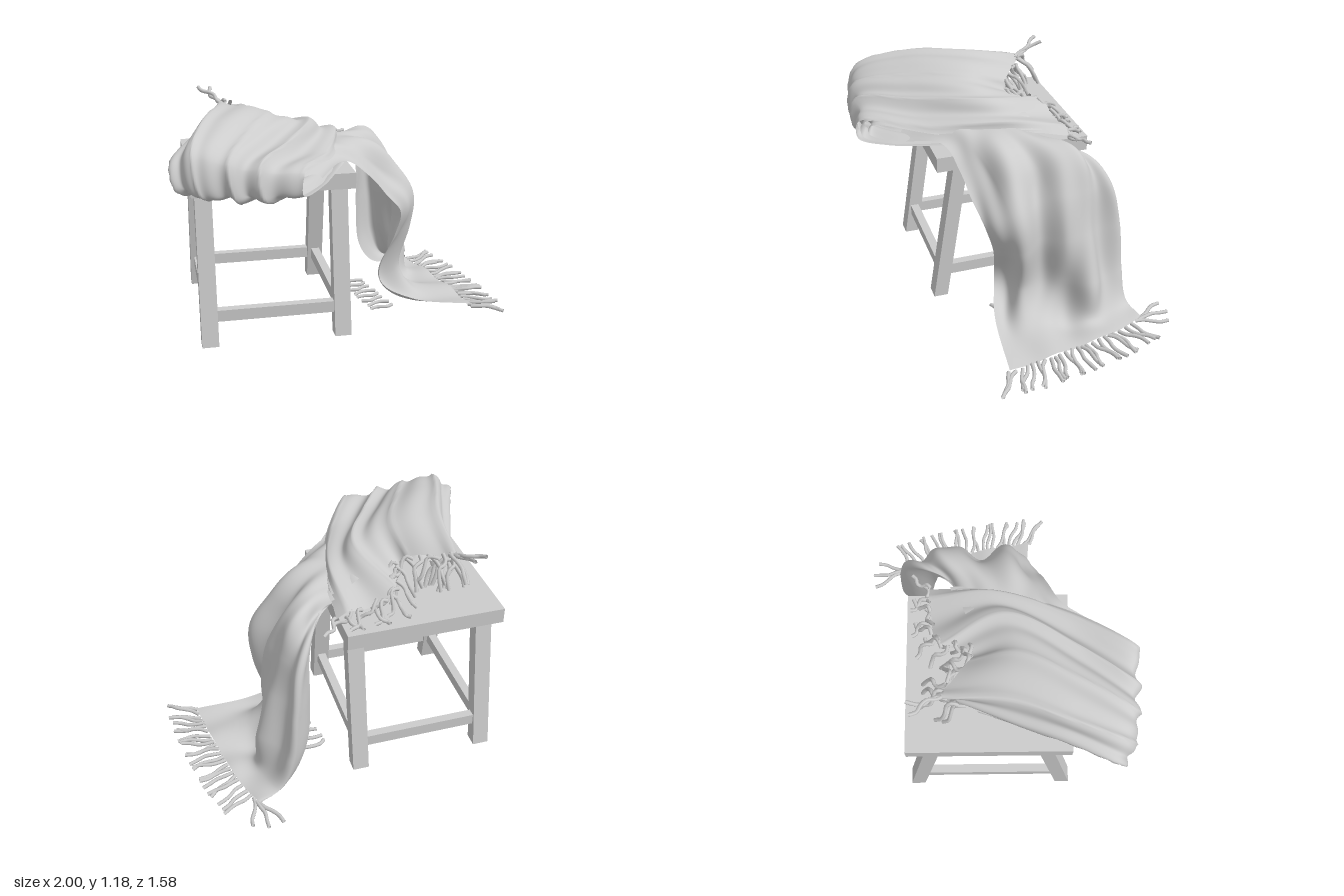
import * as THREE from 'three';

const material = new THREE.MeshStandardMaterial({ color: 0xcccccc, side: THREE.DoubleSide });
const V = (p) => new THREE.Vector3(...p);

function add(parent, name, geometry) {
  const mesh = new THREE.Mesh(geometry, material);
  mesh.name = name;
  parent.add(mesh);
  return mesh;
}

// Smooth surface through rows of points: s runs along the cloth, t across it
function sheet(rows) {
  const across = rows.map((r) => new THREE.CatmullRomCurve3(r.map(V), false, 'centripetal'));
  return (s, t) => new THREE.CatmullRomCurve3(across.map((c) => c.getPoint(t)), false, 'centripetal').getPoint(s);
}

// Grid mesh over a sheet, pushed along its normals by a fold rule
function clothGeometry(surface, fold, ns, nt) {
  const pos = [], index = [];
  for (let j = 0; j <= nt; j++) {
    for (let i = 0; i <= ns; i++) {
      pos.push(...surface(i / ns, j / nt).toArray());
      if (i < ns && j < nt) {
        const a = j * (ns + 1) + i, b = a + ns + 1;
        index.push(a, b, a + 1, a + 1, b, b + 1);
      }
    }
  }
  const g = new THREE.BufferGeometry();
  g.setAttribute('position', new THREE.Float32BufferAttribute(pos, 3));
  g.setIndex(index);
  g.computeVertexNormals();
  const p = g.attributes.position, n = g.attributes.normal;
  for (let k = 0; k < p.count; k++) {
    const d = fold((k % (ns + 1)) / ns, Math.floor(k / (ns + 1)) / nt);
    p.setXYZ(k, p.getX(k) + n.getX(k) * d, Math.max(0.012, p.getY(k) + n.getY(k) * d), p.getZ(k) + n.getZ(k) * d);
  }
  g.computeVertexNormals();
  return g;
}

function strand(points, radius = 0.01) {
  return new THREE.TubeGeometry(new THREE.CatmullRomCurve3(points), 12, radius, 6);
}

function buildStool() {
  const stool = new THREE.Group();
  stool.name = 'stool';
  add(stool, 'seat', new THREE.BoxGeometry(0.81, 0.08, 0.81)).position.y = 0.83;
  for (const sx of [-1, 1]) {
    for (const sz of [-1, 1]) {
      // legs lean inwards towards the top along one axis
      const g = new THREE.BoxGeometry(0.085, 0.79, 0.075).translate(0, 0.405, 0);
      const p = g.attributes.position;
      for (let i = 0; i < p.count; i++) p.setZ(i, p.getZ(i) - sz * 0.13 * (p.getY(i) / 0.8));
      g.computeVertexNormals();
      add(stool, 'leg', g).position.set(sx * 0.34, 0, sz * 0.405);
    }
    add(stool, 'sideStretcher', new THREE.BoxGeometry(0.045, 0.06, 0.74)).position.set(sx * 0.34, 0.16, 0);
    add(stool, 'endStretcher', new THREE.BoxGeometry(0.66, 0.06, 0.045)).position.set(0, 0.16, sx * 0.379);
  }
  stool.rotation.y = -0.618;
  stool.position.set(-0.23, 0, -0.21);
  return stool;
}

// Folded part: fringe end on the seat, over the top, round the loop and back underneath
const foldedRows = [
  [[-0.3, 0.95, -0.36], [-0.33, 1.04, -0.43], [-0.25, 1.11, -0.49], [-0.16, 1.03, -0.25], [0.02, 0.97, -0.34], [0.29, 0.9, -0.2]],
  [[-0.48, 0.9, -0.22], [-0.56, 1.06, -0.28], [-0.45, 1.17, -0.23], [-0.25, 1.11, -0.06], [-0.05, 1.05, -0.01], [0.1, 0.97, 0.02]],
  [[-0.73, 0.92, -0.08], [-0.77, 1.07, -0.13], [-0.71, 1.16, -0.06], [-0.56, 1.1, 0.1], [-0.41, 1.03, 0.19], [-0.22, 0.96, 0.28]],
  [[-0.91, 0.97, 0.03], [-0.97, 1.02, 0.0], [-0.93, 1.07, 0.09], [-0.83, 1.03, 0.21], [-0.72, 1.0, 0.3], [-0.57, 0.98, 0.43]],
  [[-0.92, 0.91, 0.04], [-0.98, 0.92, 0.04], [-0.94, 0.89, 0.13], [-0.83, 0.88, 0.23], [-0.73, 0.87, 0.31], [-0.59, 0.88, 0.44]],
  [[-0.78, 0.89, 0.0], [-0.82, 0.88, 0.02], [-0.76, 0.87, 0.1], [-0.67, 0.86, 0.19], [-0.55, 0.86, 0.29], [-0.42, 0.87, 0.4]],
  [[-0.5, 0.9, -0.12], [-0.5, 0.9, -0.1], [-0.42, 0.9, 0.0], [-0.32, 0.9, 0.08], [-0.22, 0.9, 0.16], [-0.14, 0.9, 0.28]],
];

// Hanging part: out from the folds, over the seat edge, down and across the floor
const hangingRows = [
  [[-0.55, 0.89, -0.12], [-0.55, 0.89, 0], [-0.5, 0.9, 0.12], [-0.45, 0.9, 0.24], [-0.4, 0.89, 0.35]],
  [[-0.01, 0.9, -0.18], [-0.05, 0.95, -0.08], [-0.1, 0.97, 0.05], [-0.12, 0.97, 0.18], [-0.15, 0.92, 0.29]],
  [[0.24, 0.89, -0.09], [0.2, 0.95, -0.02], [0.13, 0.96, 0.1], [0.05, 0.91, 0.25], [-0.01, 0.82, 0.32]],
  [[0.43, 0.86, -0.14], [0.41, 0.89, -0.04], [0.32, 0.87, 0.12], [0.2, 0.8, 0.29], [0.09, 0.72, 0.37]],
  [[0.55, 0.72, -0.17], [0.52, 0.74, -0.03], [0.42, 0.72, 0.14], [0.31, 0.66, 0.31], [0.2, 0.6, 0.4]],
  [[0.61, 0.48, -0.2], [0.57, 0.5, -0.02], [0.46, 0.5, 0.12], [0.34, 0.47, 0.27], [0.22, 0.44, 0.36]],
  [[0.64, 0.22, -0.2], [0.61, 0.24, -0.02], [0.48, 0.24, 0.12], [0.33, 0.21, 0.23], [0.17, 0.19, 0.3]],
  [[0.71, 0.06, -0.17], [0.66, 0.05, 0.02], [0.54, 0.05, 0.18], [0.4, 0.07, 0.32], [0.27, 0.07, 0.41]],
  [[0.82, 0.025, -0.12], [0.77, 0.025, 0.08], [0.69, 0.025, 0.27], [0.61, 0.03, 0.45], [0.52, 0.025, 0.63]],
];

// The back edge of the hanging cloth rolls inwards
const rolledRows = hangingRows.map((row, i) => {
  const k = 0.05 + Math.max(0, Math.sin(Math.PI * (i - 2) / 6)), [x, y, z] = row[0];
  return [[x - 0.18 * k, Math.max(0.015, y - 0.03 * k), z + 0.06 * k], ...row];
});

// Rounded puffs with sharp creases, running along the cloth, with finer wrinkles on top
const puffs = (k, amp) => (s, t) => {
  const phase = Math.PI * k * t + 0.7 * Math.sin(4 * s + 1);
  return amp * (Math.abs(Math.sin(phase)) ** 0.7 - 0.65 + 0.3 * Math.sin(2.7 * phase + 5 * s));
};
// Loose, slanting folds that flatten on the floor and fade at the rolled edge
const drapes = (s, t) => {
  const { smoothstep } = THREE.MathUtils;
  const strength = smoothstep(s, 0.1, 0.45) * smoothstep(1 - s, 0, 0.25) * smoothstep(t, 0.05, 0.4);
  const u = t + 0.1 * Math.sin(6 * s + 1);
  return strength * (0.034 * Math.sin(19 * u) + 0.016 * Math.sin(33 * t - 9 * s) + 0.015 * Math.sin(15 * s + 7 * t))
    + (1 - strength) * 0.008 * Math.sin(24 * t + 9 * s);
};

function buildBlanket() {
  const blanket = new THREE.Group();
  blanket.name = 'blanket';
  const folded = sheet(foldedRows), hanging = sheet(rolledRows);
  add(blanket, 'foldedCloth', clothGeometry(folded, puffs(5, 0.026), 90, 100));
  add(blanket, 'hangingCloth', clothGeometry(hanging, drapes, 110, 90));

  // inner layers of the loop, nested inside the outer one
  for (const k of [0.72, 0.42]) {
    const inner = (s, t) => {
      const p = folded(0.1 + s * 0.85, 0.06 + t * 0.92);
      p.y = 0.91 + (p.y - 0.91) * k;
      p.x += 0.11 * (1 - k);
      p.z -= 0.07 * (1 - k);
      return p;
    };
    add(blanket, 'innerFold', clothGeometry(inner, puffs(4, 0.02), 50, 50));
  }

  // fringe fanned out on the floor
  const floorCount = 26;
  for (let i = 0; i < floorCount; i++) {
    const f = i / (floorCount - 1);
    const a = i < 3 ? -1.5 + 0.4 * i : -0.2 + 1.35 * f + 0.18 * Math.sin(i * 2.4);
    const start = hanging(1, 0.2 + 0.8 * f), pts = [];
    for (let j = 0; j < 5; j++) {
      const d = j * 0.044, w = 0.007 * Math.sin(j * 1.7 + i * 1.3);
      pts.push(new THREE.Vector3(start.x + d * Math.cos(a) - w * Math.sin(a), 0.02 + 0.006 * Math.sin(i + j), start.z + d * Math.sin(a) + w * Math.cos(a)));
    }
    add(blanket, 'floorFringe', strand(pts));
  }

  // fringe of the corner tucked under the hanging cloth
  for (let i = 0; i < 8; i++) {
    const x = 0.24 + 0.02 * i, z = 0.3 - 0.05 * i;
    add(blanket, 'tuckedFringe', strand([0, 1, 2, 3].map((j) =>
      new THREE.Vector3(x - 0.04 * j, 0.018, z - 0.015 * j + 0.012 * Math.sin(i * 2 + j * 2)))));
  }

  // tangled fringe on the seat end; a few strands stick up and back
  const seatCount = 34;
  for (let i = 0; i < seatCount; i++) {
    const t = 0.12 + 0.88 * i / (seatCount - 1), start = folded(0, t);
    const raised = t > 0.3 && t < 0.42 && i % 2 === 0;
    const a = raised ? -1.45 + 0.25 * Math.sin(i) : -0.5 + 1.1 * Math.sin(i * 2.1), pts = [];
    for (let j = 0; j < 6; j++) {
      const d = j * (raised ? 0.037 : 0.024), w = 0.013 * Math.sin(j * 1.6 + i * 2.3);
      const y = raised ? start.y + 0.012 * j + 0.3 * w : Math.max(0.885, start.y - 0.005 * j * j + w);
      pts.push(new THREE.Vector3(start.x + d * Math.cos(a) - w * Math.sin(a), y, start.z + d * Math.sin(a) + w * Math.cos(a)));
    }
    add(blanket, 'seatFringe', strand(pts));
  }
  return blanket;
}

export function createModel() {
  const model = new THREE.Group();
  model.name = 'stoolWithBlanket';
  model.add(buildStool(), buildBlanket());
  return model;
}
